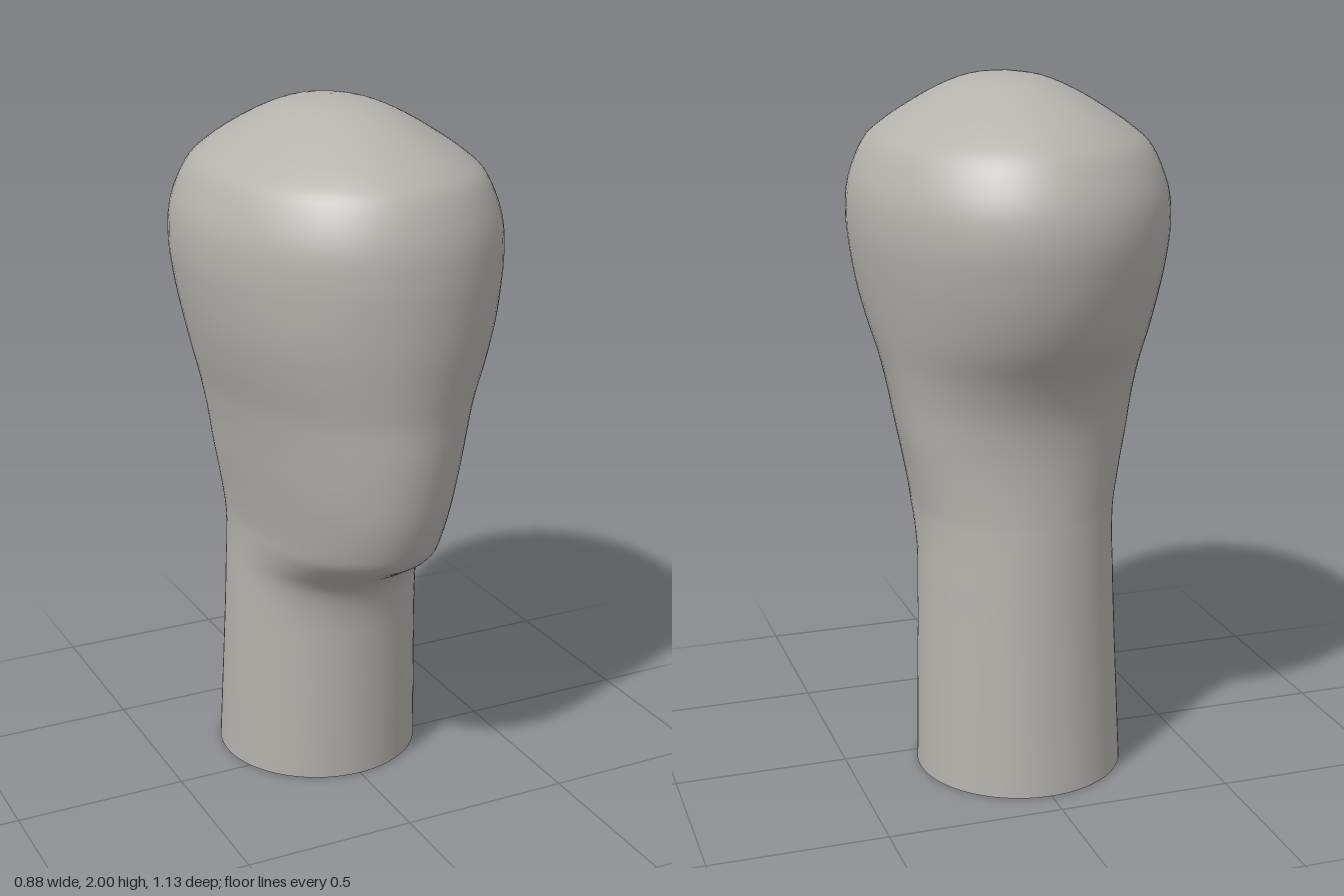
import * as THREE from 'three';

// Cross-sections: height, half width, front z, back z, z of the widest point
const SECTIONS = [
  [0, 0.3, 0.185, -0.415, -0.115],
  [0.2, 0.294, 0.19, -0.4, -0.105],
  [0.4, 0.288, 0.194, -0.385, -0.095],
  [0.52, 0.285, 0.2, -0.376, -0.09],
  [0.6, 0.283, 0.22, -0.37, -0.09],
  [0.65, 0.281, 0.26, -0.366, -0.09],
  [0.7, 0.28, 0.34, -0.362, -0.09],
  [0.75, 0.281, 0.42, -0.358, -0.09],
  [0.8, 0.285, 0.458, -0.354, -0.09],
  [0.9, 0.302, 0.497, -0.35, -0.09],
  [1.0, 0.322, 0.517, -0.353, -0.085],
  [1.1, 0.34, 0.528, -0.37, -0.07],
  [1.2, 0.362, 0.532, -0.412, -0.05],
  [1.3, 0.39, 0.545, -0.475, -0.02],
  [1.4, 0.414, 0.557, -0.52, 0],
  [1.5, 0.432, 0.563, -0.548, 0],
  [1.6, 0.442, 0.563, -0.562, 0],
  [1.7, 0.434, 0.55, -0.548, 0],
  [1.8, 0.393, 0.508, -0.498, 0],
  [1.85, 0.342, 0.455, -0.448, 0],
  [1.9, 0.27, 0.37, -0.37, 0],
  [1.95, 0.185, 0.262, -0.262, 0],
  [1.985, 0.1, 0.145, -0.145, 0],
  [2, 0, 0, 0, 0],
];
const AROUND = 80;
const STEPS = 4;

// Smooth skin lofted through the egg-shaped sections
function loftGeometry() {
  const curve = (f) => new THREE.CatmullRomCurve3(SECTIONS.map(f), false, 'catmullrom', 0.5);
  const outline = curve(([y, w, front]) => new THREE.Vector3(w, y, front));
  const depth = curve(([, , , back, mid]) => new THREE.Vector3(back, mid, 0));
  const rows = (SECTIONS.length - 1) * STEPS;
  const positions = [];
  const index = [];
  for (let r = 0; r <= rows; r++) {
    const { x: w, y, z: front } = outline.getPoint(r / rows);
    const { x: back, y: mid } = depth.getPoint(r / rows);
    for (let i = 0; i < AROUND; i++) {
      const a = (i / AROUND) * Math.PI * 2;
      const c = Math.cos(a);
      positions.push(w * Math.sin(a), y, mid + c * (c > 0 ? front - mid : mid - back));
      if (r === rows) continue;
      const p = r * AROUND + i;
      const q = r * AROUND + ((i + 1) % AROUND);
      index.push(p, q, q + AROUND);
      if (r < rows - 1) index.push(p, q + AROUND, p + AROUND);
    }
  }
  const geometry = new THREE.BufferGeometry();
  geometry.setAttribute('position', new THREE.Float32BufferAttribute(positions, 3));
  geometry.setIndex(index);
  geometry.computeVertexNormals();
  // The crown points straight up
  const normal = geometry.attributes.normal;
  for (let i = 0; i < AROUND; i++) normal.setXYZ(rows * AROUND + i, 0, 1, 0);
  return geometry;
}

export function createModel() {
  const model = new THREE.Group();
  model.name = 'mannequinHead';
  const clay = new THREE.MeshStandardMaterial({ color: 0xb4b2ad });
  clay.name = 'warm grey clay';

  const head = new THREE.Mesh(loftGeometry(), clay);
  head.name = 'headAndNeck';
  model.add(head);

  // Flat underside of the neck
  const [, w, front, back, mid] = SECTIONS[0];
  const disc = new THREE.CircleGeometry(1, AROUND).rotateX(Math.PI / 2);
  disc.scale(w, 1, (front - back) / 2);
  const base = new THREE.Mesh(disc, clay);
  base.name = 'neckBase';
  base.position.z = mid;
  model.add(base);

  return model;
}
